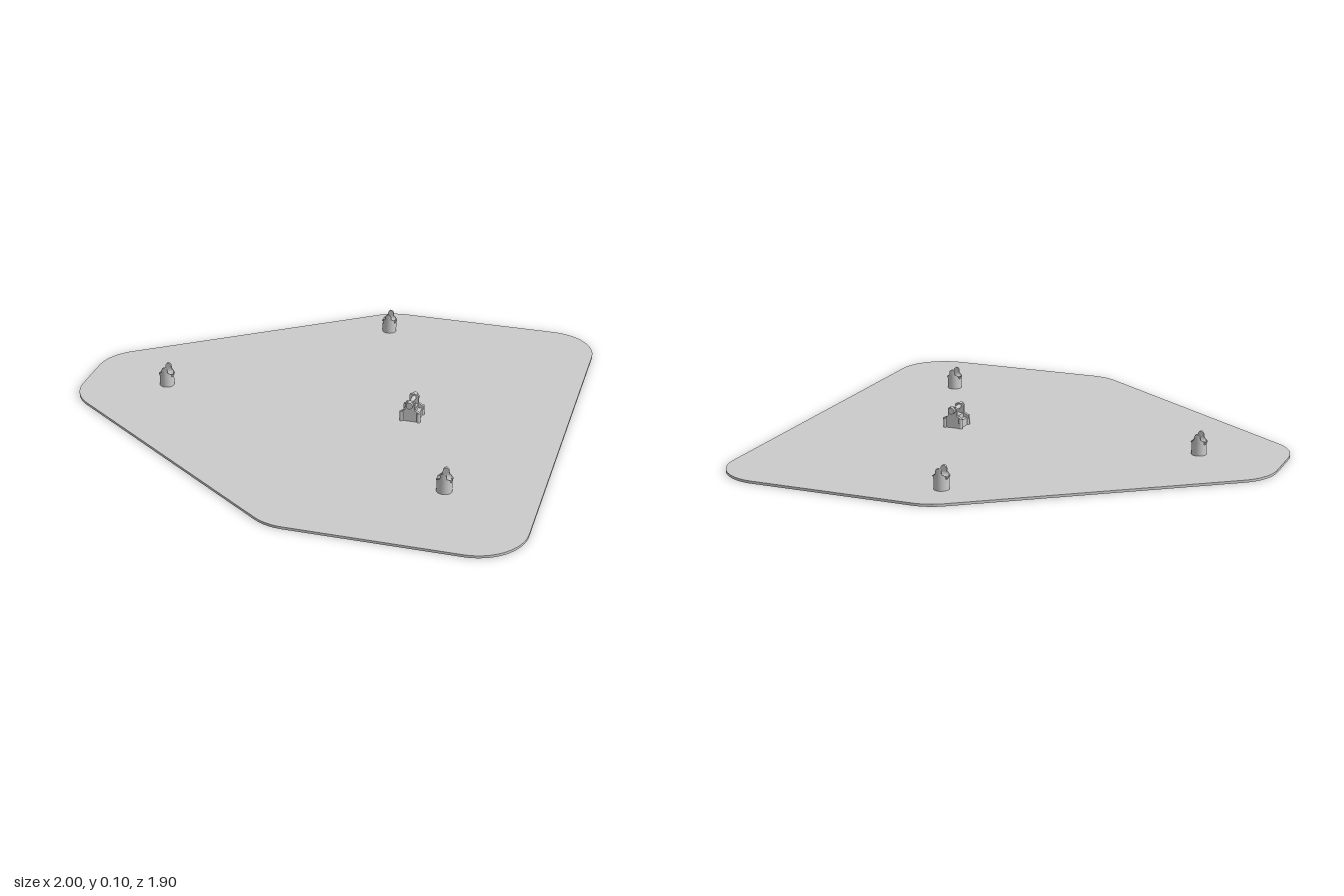
import * as THREE from 'three';

const material = new THREE.MeshStandardMaterial({ color: 0xcccccc, side: THREE.DoubleSide });
const PLATE = 0.01;

function add(parent, name, geometry, x = 0, y = 0, z = 0) {
  const mesh = new THREE.Mesh(geometry, material);
  mesh.name = name;
  mesh.position.set(x, y, z);
  parent.add(mesh);
  return mesh;
}

// Counter-clockwise convex polygon with every corner rounded by radius r
function roundedPolygon(points, r) {
  const shape = new THREE.Shape();
  const p = points.map(([x, y]) => new THREE.Vector2(x, y));
  const normal = (a, b) => new THREE.Vector2(b.y - a.y, a.x - b.x).normalize();
  p.forEach((corner, i) => {
    const n1 = normal(p[(i + p.length - 1) % p.length], corner);
    const n2 = normal(corner, p[(i + 1) % p.length]);
    const c = corner.clone().addScaledVector(n1.clone().add(n2), -r / (1 + n1.dot(n2)));
    shape.absarc(c.x, c.y, r, n1.angle(), n2.angle(), false);
  });
  shape.closePath();
  return shape;
}

// Joins cross-section loops of equal length into a capped, faceted solid
function loft(loops) {
  const pos = [];
  const tri = (a, b, c) => pos.push(...a, ...b, ...c);
  const n = loops[0].length;
  for (let k = 0; k + 1 < loops.length; k++) {
    for (let i = 0; i < n; i++) {
      const j = (i + 1) % n;
      tri(loops[k][i], loops[k][j], loops[k + 1][j]);
      tri(loops[k][i], loops[k + 1][j], loops[k + 1][i]);
    }
  }
  const first = loops[0], last = loops[loops.length - 1];
  for (let i = 1; i + 1 < n; i++) {
    tri(first[0], first[i + 1], first[i]);
    tri(last[0], last[i], last[i + 1]);
  }
  const g = new THREE.BufferGeometry();
  g.setAttribute('position', new THREE.Float32BufferAttribute(pos, 3));
  g.computeVertexNormals();
  return g;
}

// One prong of a round post: a disc segment narrowing upward, hollowed by a round notch
function prongGeometry(R) {
  const notch = 0.02, notchY = 0.073;
  const levels = [[0.053, 0.0299], [0.056, 0.0299], [0.062, 0.0299], [0.068, 0.022],
    [0.073, 0.013], [0.086, 0.012], [0.092, 0.009], [0.096, 0.003]];
  return loft(levels.map(([y, w]) => {
    const d = Math.max(0, notchY - y);
    const inner = Math.sqrt(Math.max(0, notch * notch - d * d));
    const loop = [];
    for (let i = 0; i <= 10; i++) {
      const x = -w + (2 * w * i) / 10;
      loop.push([x, y, Math.max(inner, Math.sqrt(R * R - x * x))]);
    }
    for (let i = 10; i >= 0; i--) {
      const x = -w + (2 * w * i) / 10;
      loop.push([x, y, Math.min(inner, Math.sqrt(R * R - x * x))]);
    }
    return loop;
  }));
}

function createPost(x, z) {
  const post = new THREE.Group();
  post.name = 'forkPost';
  const R = 0.03;
  add(post, 'postBody', new THREE.CylinderGeometry(R, R, 0.053, 24), 0, 0.0265, 0);
  const prong = prongGeometry(R);
  add(post, 'frontProng', prong);
  add(post, 'backProng', prong).rotation.y = Math.PI;
  post.position.set(x, 0, z);
  return post;
}

function createBracket(x, z) {
  const bracket = new THREE.Group();
  bracket.name = 'centreBracket';
  add(bracket, 'bracketBase', new THREE.BoxGeometry(0.07, 0.04, 0.076), 0, 0.02, 0);

  // Shoulder plates on both ends with a sloped top and narrow neck
  const side = new THREE.Shape();
  [[-0.042, 0.035], [0.042, 0.035], [0.042, 0.048], [0.019, 0.06], [0.019, 0.092],
    [0.013, 0.097], [-0.013, 0.097], [-0.019, 0.092], [-0.019, 0.06], [-0.042, 0.048]]
    .forEach(([a, b], i) => (i ? side.lineTo(a, b) : side.moveTo(a, b)));
  const plate = new THREE.ExtrudeGeometry(side, { depth: 0.012, bevelEnabled: false });
  for (const s of [-1, 1]) {
    add(bracket, 'endPlate', plate, 0, 0, s * 0.034 - 0.006);
    // Rounded lug outside each end plate
    add(bracket, 'endLug', new THREE.CylinderGeometry(0.014, 0.014, 0.016, 16),
      0, 0.084, s * 0.045).rotation.x = Math.PI / 2;
    // Corner bolts
    for (const t of [-1, 1]) {
      add(bracket, 'cornerBolt', new THREE.CylinderGeometry(0.008, 0.008, 0.05, 12),
        t * 0.035, 0.025, s * 0.036);
    }
  }
  add(bracket, 'saddle', new THREE.BoxGeometry(0.036, 0.02, 0.07), 0, 0.048, 0);
  add(bracket, 'crossBar', new THREE.CylinderGeometry(0.009, 0.009, 0.09, 16),
    0, 0.084, 0).rotation.x = Math.PI / 2;
  bracket.position.set(x, 0, z);
  return bracket;
}

export function createModel() {
  const model = new THREE.Group();
  model.name = 'mountingPlate';

  // Thin rounded base plate
  const outline = roundedPolygon([[1, -0.95], [1, 0.95], [0.07, 0.95],
    [-1, 0.19], [-1, -0.19], [0.07, -0.95]], 0.2);
  const plate = new THREE.ExtrudeGeometry(outline,
    { depth: PLATE, bevelEnabled: false, curveSegments: 10 });
  plate.rotateX(-Math.PI / 2);
  add(model, 'basePlate', plate);

  // Three forked posts and the central bracket
  const fixtures = new THREE.Group();
  fixtures.name = 'fixtures';
  for (const [x, z] of [[0.1, -0.765], [0.64, 0.535], [-0.66, 0]]) fixtures.add(createPost(x, z));
  fixtures.add(createBracket(0.387, 0));
  fixtures.position.y = 0.001;
  model.add(fixtures);
  return model;
}
